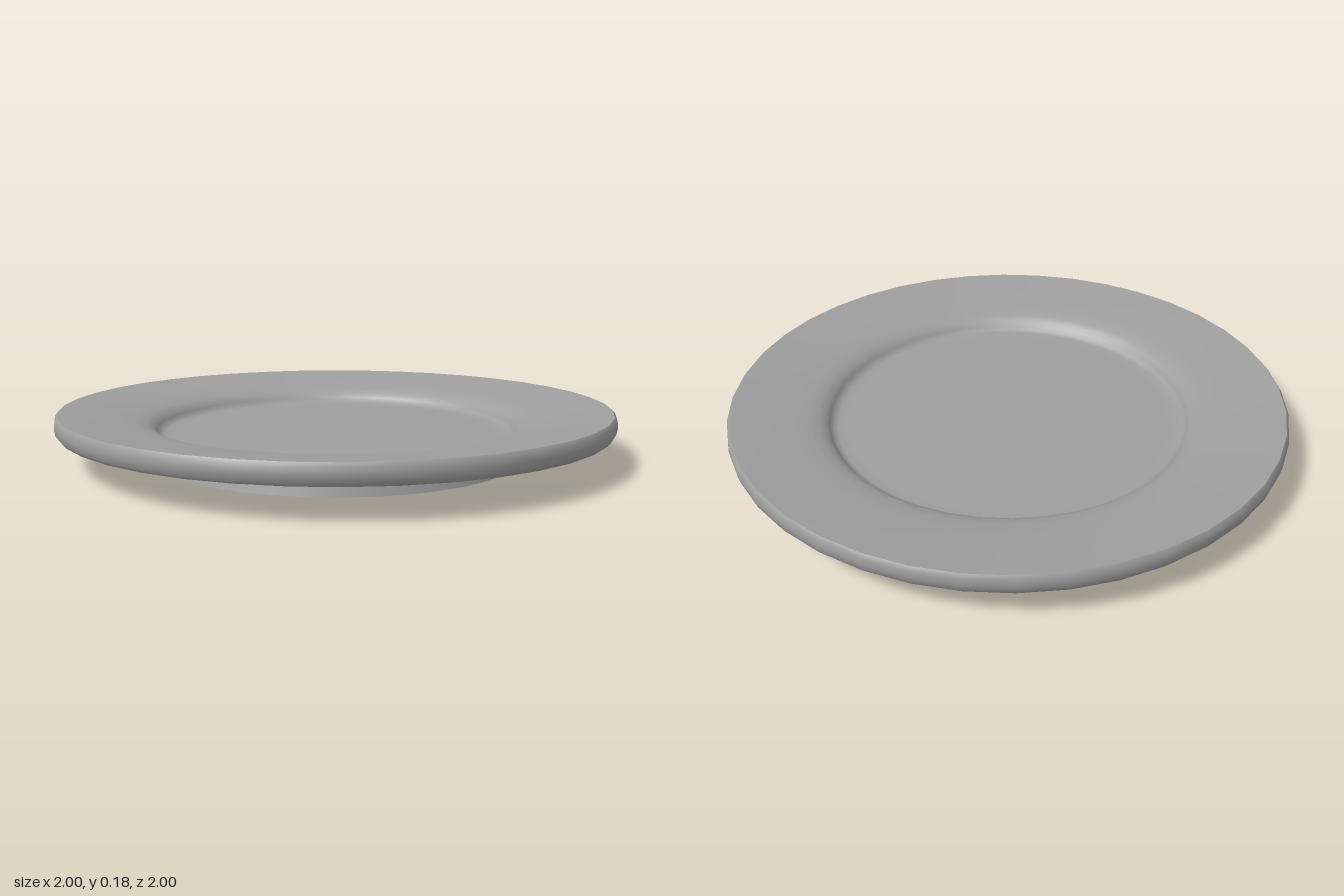
import * as THREE from 'three';

const SEGMENTS = 40;

export function createModel() {
  const plate = new THREE.Group();
  plate.name = 'plate';
  const material = new THREE.MeshStandardMaterial({ color: 0x9e9e9e });

  // Each part is smooth within itself and meets its neighbour at a sharp edge.
  // Profiles are [radius, height], running from the underside round to the top.
  const parts = {
    baseRecess: [[0, 0.025], [0.54, 0.025]],
    footInnerWall: [[0.54, 0.025], [0.54, 0]],
    footRing: [[0.54, 0], [0.67, 0]],
    footOuterWall: [[0.67, 0], [0.655, 0.055]],
    underside: [[0.655, 0.055], [0.72, 0.073], [0.79, 0.09], [0.86, 0.102], [0.93, 0.108], [0.985, 0.11]],
    rimEdge: [[0.985, 0.11], [0.995, 0.122], [1, 0.145], [0.997, 0.168], [0.988, 0.18]],
    topSurface: [[0.988, 0.18], [0.87, 0.166], [0.78, 0.154], [0.72, 0.145], [0.685, 0.135],
      [0.66, 0.122], [0.648, 0.106], [0.638, 0.092], [0.62, 0.086], [0.58, 0.085], [0, 0.085]],
  };

  for (const [name, profile] of Object.entries(parts)) {
    const points = profile.map(([r, y]) => new THREE.Vector2(r, y));
    const mesh = new THREE.Mesh(new THREE.LatheGeometry(points, SEGMENTS), material);
    mesh.name = name;
    plate.add(mesh);
  }
  return plate;
}
